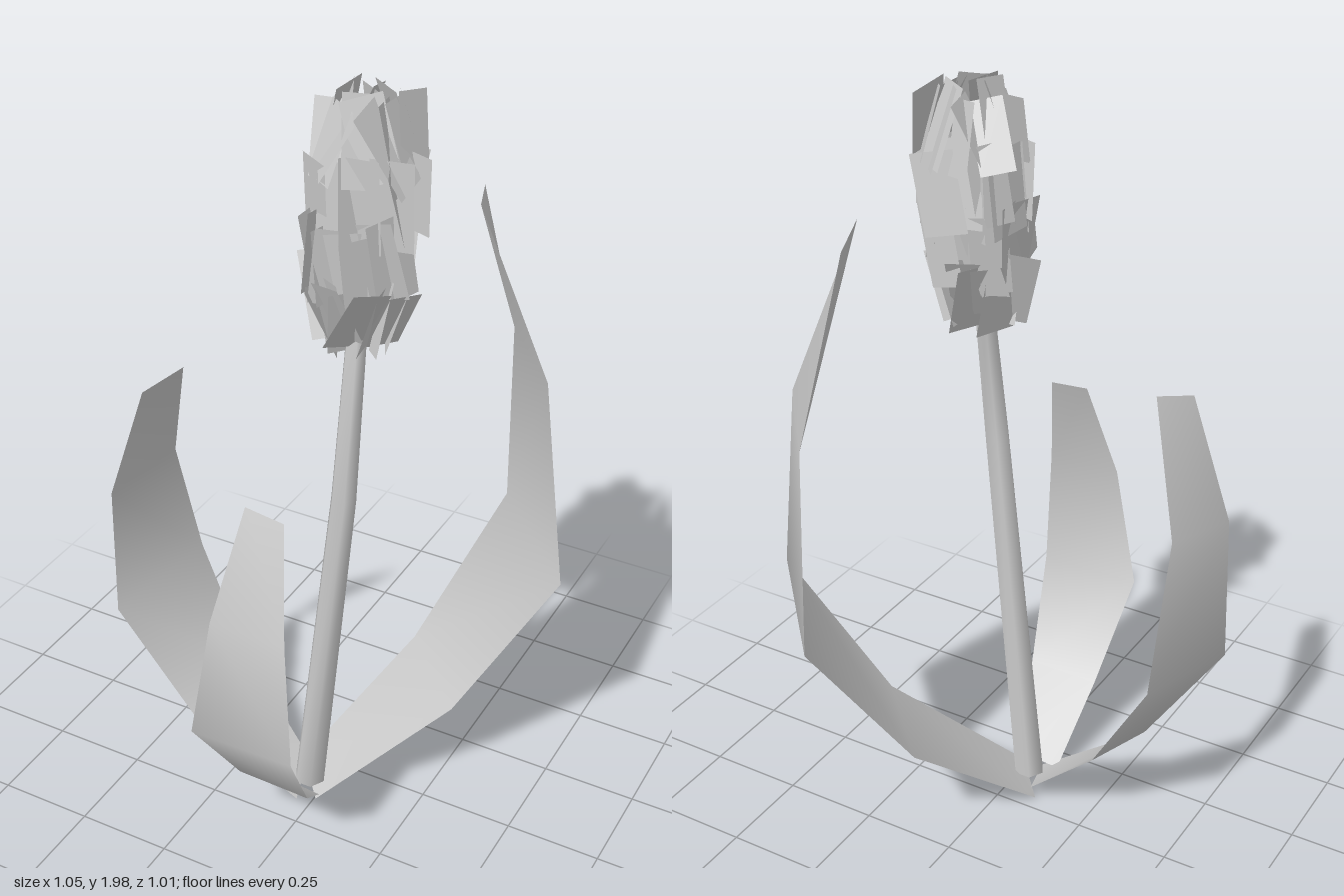
import * as THREE from 'three';

const material = new THREE.MeshStandardMaterial({ color: 0xcccccc, side: THREE.DoubleSide });

// Thin smooth strip between two edges, given as matching lists of [x, y, z]
function strip(name, edgeA, edgeB) {
  const positions = [], index = [];
  edgeA.forEach((a, i) => {
    positions.push(...a, ...edgeB[i]);
    if (i > 0) {
      const k = i * 2;
      index.push(k - 2, k - 1, k, k - 1, k + 1, k);
    }
  });
  const geometry = new THREE.BufferGeometry();
  geometry.setAttribute('position', new THREE.Float32BufferAttribute(positions, 3));
  geometry.setIndex(index);
  geometry.computeVertexNormals();
  const mesh = new THREE.Mesh(geometry, material);
  mesh.name = name;
  return mesh;
}

// Smooth tapered tube through a few centre points [x, y, z, radius]
function taperedStem(points, sides) {
  const positions = [], index = [];
  points.forEach(([x, y, z, r], i) => {
    for (let s = 0; s < sides; s++) {
      const a = (s / sides) * Math.PI * 2;
      positions.push(x + r * Math.cos(a), y, z + r * Math.sin(a));
      if (i > 0) {
        const n = (s + 1) % sides, lo = (i - 1) * sides, hi = i * sides;
        index.push(lo + s, hi + s, lo + n, lo + n, hi + s, hi + n);
      }
    }
  });
  const geometry = new THREE.BufferGeometry();
  geometry.setAttribute('position', new THREE.Float32BufferAttribute(positions, 3));
  geometry.setIndex(index);
  geometry.computeVertexNormals();
  const mesh = new THREE.Mesh(geometry, material);
  mesh.name = 'stem';
  return mesh;
}

// Small seeded generator
function seeded(seed) {
  return () => {
    seed = (seed * 16807) % 2147483647;
    return seed / 2147483647;
  };
}

// Flower head: tiers of flat petals around a slightly leaning axis
function flowerHead() {
  const head = new THREE.Group();
  head.name = 'flowerHead';
  const random = seeded(77);
  const tiers = [
    { y: 1.46, z: 0.055, radius: 0.085, height: 0.2, lean: 0.4, count: 17 },
    { y: 1.59, z: 0.04, radius: 0.1, height: 0.22, lean: 0.1, count: 16 },
    { y: 1.73, z: 0.02, radius: 0.1, height: 0.22, lean: -0.05, count: 16 },
    { y: 1.87, z: 0.01, radius: 0.085, height: 0.2, lean: -0.35, count: 17 },
  ];
  for (const t of tiers) {
    for (let i = 0; i < t.count; i++) {
      const angle = ((i + random() * 0.6) / t.count) * Math.PI * 2;
      const radius = t.radius * (0.75 + 0.4 * random());
      const petal = new THREE.Mesh(
        new THREE.PlaneGeometry(0.07 + 0.04 * random(), t.height * (0.8 + 0.25 * random())), material);
      petal.name = 'petal';
      petal.rotation.order = 'YXZ';
      petal.rotation.set(t.lean + (random() - 0.5) * 0.3, (random() - 0.5) * 2.2, (random() - 0.5) * 0.5);
      petal.position.set(0, 0, radius);
      const pivot = new THREE.Group();
      pivot.name = 'petalPivot';
      pivot.position.set(0.075, t.y + (random() - 0.5) * 0.04, t.z);
      pivot.rotation.y = angle;
      pivot.add(petal);
      head.add(pivot);
    }
  }
  return head;
}

export function createModel() {
  const plant = new THREE.Group();
  plant.name = 'plant';

  // Three curved leaves, each from base to tip
  plant.add(strip('frontLeaf',
    [[-0.1, 0.03, 0.15], [-0.11, 0.2, 0.34], [-0.14, 0.45, 0.505], [-0.085, 0.79, 0.485], [-0.04, 1.07, 0.385]],
    [[0.02, 0.03, 0.16], [0.09, 0.2, 0.345], [0.135, 0.45, 0.5], [0.115, 0.79, 0.485], [0.065, 1.06, 0.39]]));
  plant.add(strip('backLeaf',
    [[0.01, 0.01, 0.16], [0.3, 0.28, -0.05], [0.525, 0.68, -0.18], [0.435, 1.21, -0.23], [0.265, 1.66, -0.175]],
    [[-0.1, 0.01, 0.03], [0.08, 0.28, -0.28], [0.235, 0.67, -0.505], [0.245, 1.2, -0.465], [0.21, 1.64, -0.32]]));
  plant.add(strip('rightLeaf',
    [[-0.04, 0, 0.175], [-0.33, 0.2, 0.21], [-0.53, 0.5, 0.24], [-0.51, 0.88, 0.255], [-0.4, 1.2, 0.25]],
    [[-0.08, 0.03, 0.04], [-0.29, 0.24, -0.015], [-0.46, 0.54, -0.065], [-0.455, 0.91, 0.045], [-0.35, 1.23, 0.145]]));

  // Bent stem carrying the flower
  plant.add(taperedStem([
    [-0.035, 0.03, 0.11, 0.042], [0.09, 1, 0.152, 0.033],
    [0.083, 1.42, 0.075, 0.026], [0.08, 1.88, -0.005, 0.024]], 6));

  plant.add(flowerHead());
  return plant;
}
